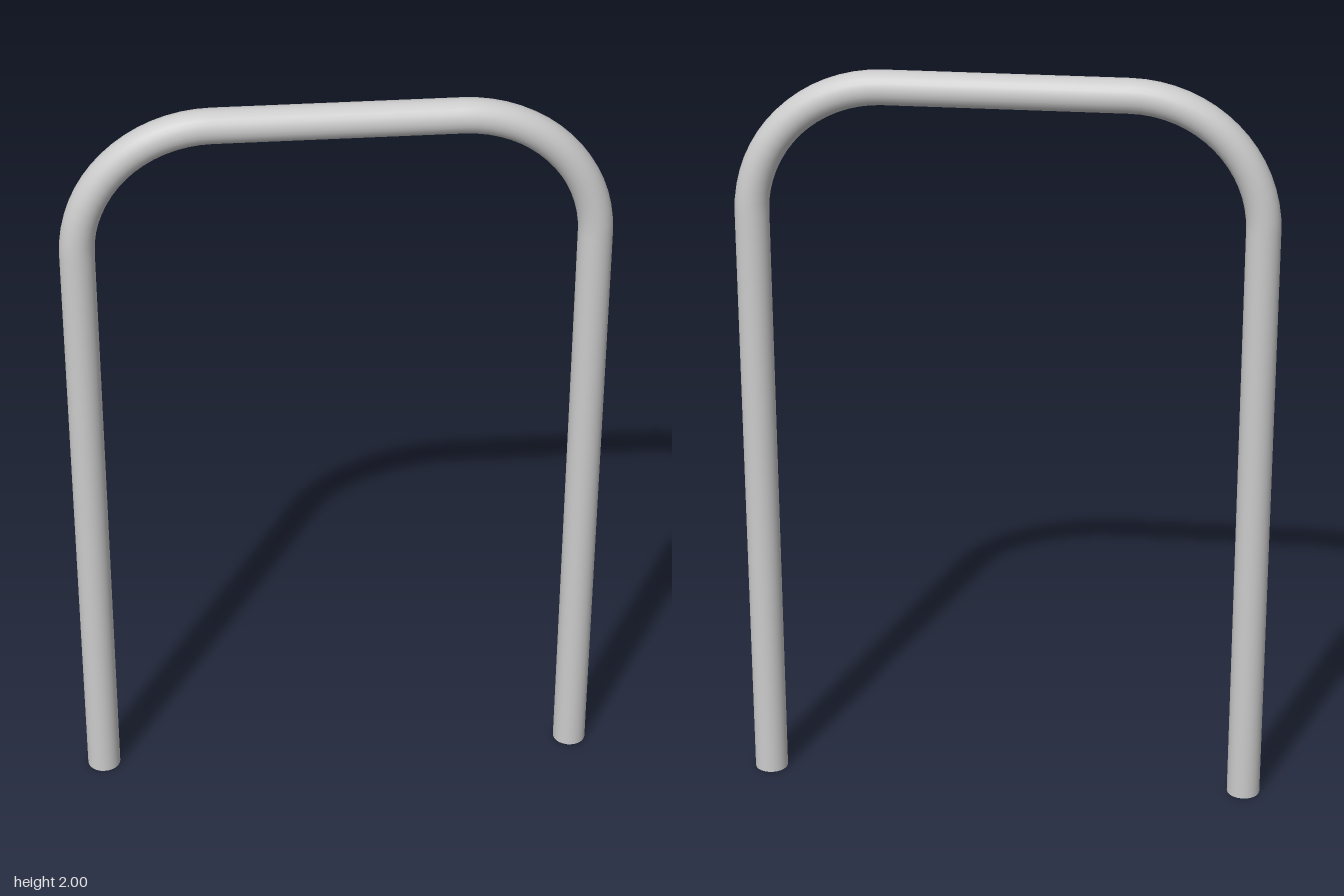
import * as THREE from 'three';

export function createModel() {
  const group = new THREE.Group();
  const material = new THREE.MeshStandardMaterial({ color: 0xcccccc });

  const tube = 0.044;          // pipe radius
  const bend = 0.34;           // bend radius along the pipe centre
  const legX = 0.69 - tube;    // leg centre
  const railY = 2 - tube;      // top rail centre
  const legHeight = railY - bend;
  const railHalf = legX - bend;
  const sides = 24;

  const add = (name, geometry, x, y) => {
    const mesh = new THREE.Mesh(geometry, material);
    mesh.name = name;
    mesh.position.set(x, y, 0);
    group.add(mesh);
    return mesh;
  };

  // Straight rail across the top
  add('topRail', new THREE.CylinderGeometry(tube, tube, railHalf * 2, sides, 1, true), 0, railY)
    .rotation.z = Math.PI / 2;

  for (const [side, s] of [['left', 1], ['right', -1]]) {
    // Upright leg with a closed foot
    add(side + 'Leg', new THREE.CylinderGeometry(tube, tube, legHeight, sides), s * legX, legHeight / 2);

    // Quarter bend joining the leg to the rail
    const elbow = new THREE.TorusGeometry(bend, tube, sides, 16, Math.PI / 2);
    if (s < 0) elbow.rotateZ(Math.PI / 2);
    add(side + 'Bend', elbow, s * railHalf, legHeight);
  }

  return group;
}
